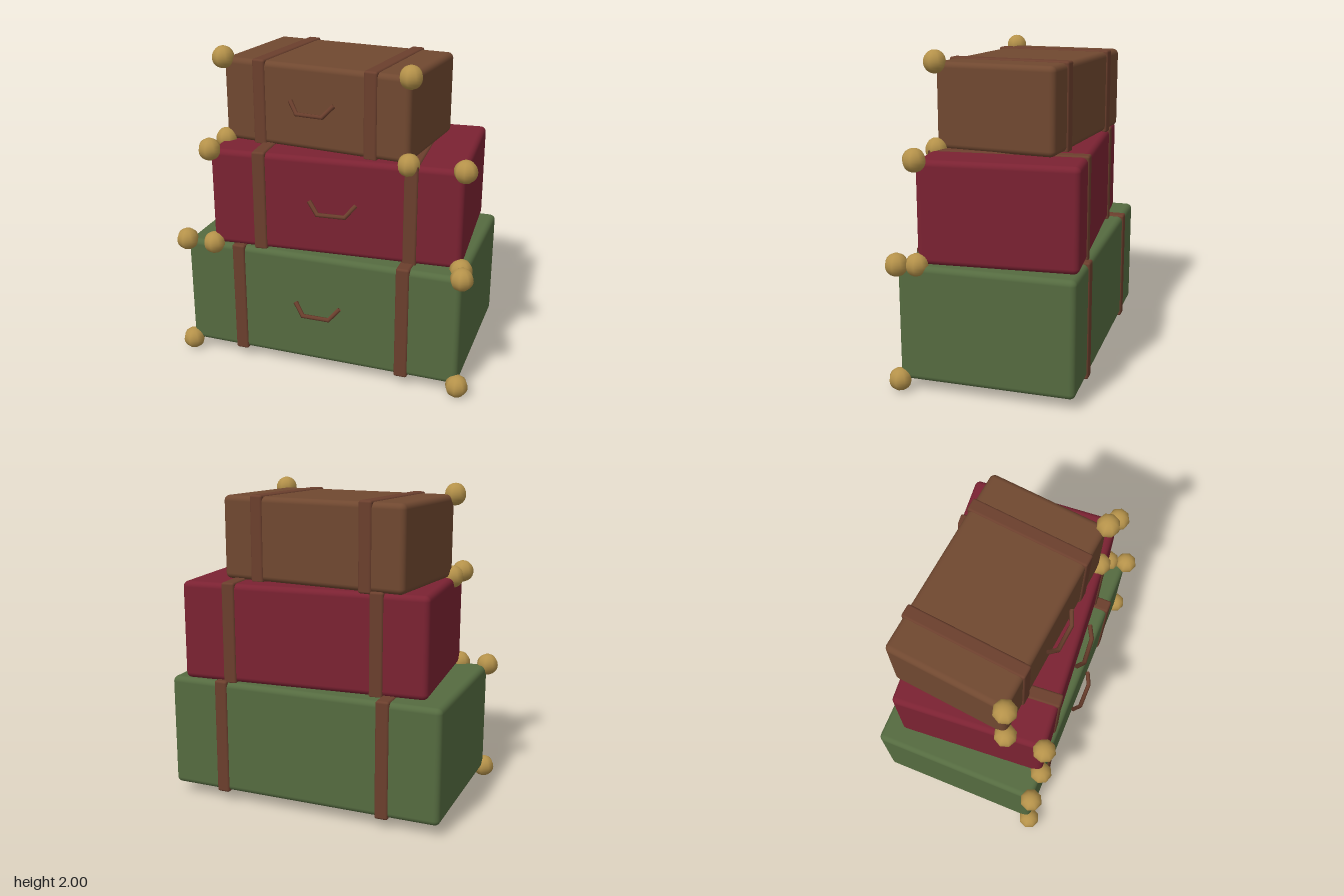
import * as THREE from 'three';
import { RoundedBoxGeometry } from 'three/addons/geometries/RoundedBoxGeometry.js';

const material = (name, color) => Object.assign(new THREE.MeshStandardMaterial({ color }), { name });

// Bent carrying handle: a tube through four points with mitred corners
function handleGeometry() {
  const path = new THREE.CatmullRomCurve3([
    new THREE.Vector3(-0.145, 0.043, 0.022), new THREE.Vector3(-0.085, -0.025, 0.058),
    new THREE.Vector3(0.085, -0.025, 0.058), new THREE.Vector3(0.145, 0.043, 0.022),
  ]);
  path.getPointAt = (t, target) => path.getPoint(t, target);
  path.getTangentAt = (t, target) => path.getTangent(t, target);
  return new THREE.TubeGeometry(path, 3, 0.015, 6);
}

export function createModel() {
  const leather = material('strap leather', 0x6b3f2d);
  leather.side = THREE.DoubleSide;
  const brass = material('brass', 0xb5924a);
  const knobGeometry = new THREE.SphereGeometry(0.07, 8, 12);
  const handle = handleGeometry();

  const model = new THREE.Group();
  model.name = 'suitcaseStack';

  function addMesh(parent, name, geometry, mat, x, y, z) {
    const mesh = new THREE.Mesh(geometry, mat);
    mesh.name = name;
    mesh.position.set(x, y, z);
    parent.add(mesh);
  }

  function addSuitcase({ name, mat, size: [w, h, d], at, turn }) {
    const suitcase = new THREE.Group();
    suitcase.name = name;
    suitcase.position.set(...at);
    suitcase.rotation.y = turn;

    addMesh(suitcase, 'case', new RoundedBoxGeometry(w, h, d, 3, 0.035), mat, 0, 0, 0);
    addMesh(suitcase, 'handle', handle, leather, 0, 0, d / 2);

    for (const [side, s] of [['left', 1], ['right', -1]]) {
      // Strap wraps right round the case
      addMesh(suitcase, side + 'Strap',
        new RoundedBoxGeometry(0.085, h + 0.018, d + 0.018, 2, 0.014), leather, s * w * 0.3, 0, 0);
      // Brass knobs on the front corners
      addMesh(suitcase, side + 'UpperKnob', knobGeometry, brass, s * w / 2, h / 2, d / 2);
      addMesh(suitcase, side + 'LowerKnob', knobGeometry, brass, s * w / 2, -h / 2, d / 2);
    }
    model.add(suitcase);
  }

  addSuitcase({ name: 'bottomSuitcase', mat: material('green', 0x556b40),
    size: [1.785, 0.72, 1.07], at: [0, 0.43, -0.033], turn: 0 });
  addSuitcase({ name: 'middleSuitcase', mat: material('dark red', 0x7b2232),
    size: [1.57, 0.62, 0.95], at: [0.045, 1.1, -0.033], turn: 0.07 });
  addSuitcase({ name: 'topSuitcase', mat: material('brown', 0x704830),
    size: [1.237, 0.52, 0.75], at: [-0.051, 1.67, -0.055], turn: -0.105 });

  return model;
}
